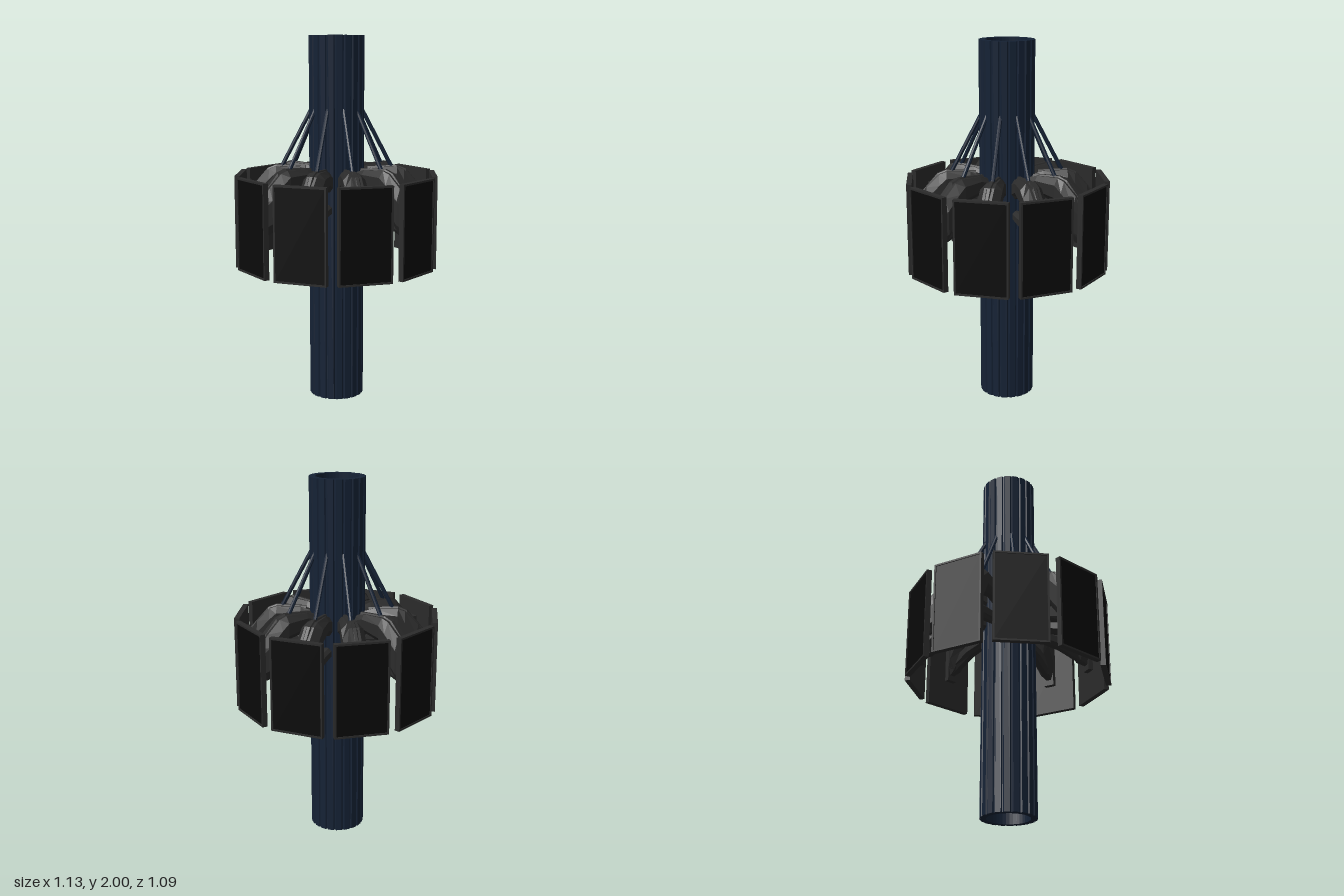
import * as THREE from 'three';

const COUNT = 10;
const blue = new THREE.MeshStandardMaterial({ color: 0x152235, flatShading: true });
const grey = new THREE.MeshStandardMaterial({ color: 0x2b2b2b, flatShading: true });
const black = new THREE.MeshStandardMaterial({ color: 0x0a0a0a, flatShading: true });

function mesh(name, geometry, material) {
  const m = new THREE.Mesh(geometry, material);
  m.name = name;
  return m;
}

function box(name, w, h, d, x, y, z, material) {
  const m = mesh(name, new THREE.BoxGeometry(w, h, d), material);
  m.position.set(x, y, z);
  return m;
}

// Chamfered beam along +z; each station is [z, top, bottom, halfWidth]
function beam(stations) {
  const pos = [], index = [], n = 8;
  for (const [z, top, bottom, w] of stations) {
    const c = (top - bottom) * 0.25, k = w * 0.45;
    const ring = [[k, top], [-k, top], [-w, top - c], [-w, bottom + c],
      [-k, bottom], [k, bottom], [w, bottom + c], [w, top - c]];
    for (const [x, y] of ring) pos.push(x, y, z);
  }
  for (let s = 0; s < stations.length - 1; s++) {
    for (let i = 0; i < n; i++) {
      const a = s * n + i, b = s * n + (i + 1) % n;
      index.push(a, b, b + n, a, b + n, a + n);
    }
  }
  const last = (stations.length - 1) * n;
  for (let i = 1; i < n - 1; i++) {
    index.push(0, i + 1, i, last, last + i, last + i + 1);
  }
  const g = new THREE.BufferGeometry();
  g.setAttribute('position', new THREE.Float32BufferAttribute(pos, 3));
  g.setIndex(index);
  const flat = g.toNonIndexed();
  flat.computeVertexNormals();
  return flat;
}

function rod(name, from, to, radius) {
  const a = new THREE.Vector3(...from), b = new THREE.Vector3(...to);
  const m = mesh(name, new THREE.CylinderGeometry(radius, radius, a.distanceTo(b), 8), blue);
  m.position.copy(a).lerp(b, 0.5);
  m.quaternion.setFromUnitVectors(new THREE.Vector3(0, 1, 0), b.sub(a).normalize());
  return m;
}

// Hollow ribbed column
function makeColumn() {
  const ribs = 20, pts = [];
  for (let i = 0; i < ribs; i++) {
    for (const [r, t] of [[0.143, 0], [0.15, 0.12], [0.15, 0.78], [0.143, 0.9]]) {
      const a = (i + t) / ribs * Math.PI * 2;
      pts.push(new THREE.Vector2(Math.cos(a) * r, Math.sin(a) * r));
    }
  }
  const shape = new THREE.Shape(pts);
  const hole = new THREE.Path();
  hole.absarc(0, 0, 0.115, 0, Math.PI * 2, true);
  shape.holes.push(hole);
  const g = new THREE.ExtrudeGeometry(shape, { depth: 2, bevelEnabled: false, curveSegments: 20 });
  g.rotateX(-Math.PI / 2);
  return mesh('column', g, blue);
}

// Framed screen facing +z
function makePanel() {
  const g = new THREE.Group();
  g.name = 'panel';
  const w = 0.288, h = 0.505, y = 1.0025, t = 0.01;
  g.add(box('panelBack', w, h, 0.02, 0, y, 0.526, grey));
  g.add(box('screen', w - 2 * t, h - 2 * t, 0.004, 0, y, 0.538, black));
  for (const s of [-1, 1]) {
    g.add(box('sideBezel', t, h, 0.01, s * (w - t) / 2, y, 0.54, grey));
    g.add(box('endBezel', w - 2 * t, t, 0.01, 0, y + s * (h - t) / 2, 0.54, grey));
  }
  return g;
}

// Bent arm, lower brace, mount and stay rod for one panel
function makeArm() {
  const g = new THREE.Group();
  g.name = 'arm';
  g.add(mesh('upperArm', beam([
    [0.06, 1.27, 1.16, 0.019], [0.13, 1.27, 1.16, 0.032], [0.2, 1.29, 1.19, 0.036],
    [0.33, 1.295, 1.16, 0.06], [0.37, 1.28, 1.06, 0.06], [0.44, 1.21, 0.96, 0.058],
    [0.495, 1.13, 0.94, 0.026]]), grey));
  g.add(mesh('armRidge', beam([
    [0.17, 1.295, 1.24, 0.014], [0.33, 1.303, 1.24, 0.018],
    [0.38, 1.283, 1.2, 0.018], [0.49, 1.155, 1.1, 0.016]]), grey));
  g.add(mesh('lowerBrace', beam([
    [0.06, 1.1, 1.04, 0.018], [0.17, 1.1, 1.04, 0.03],
    [0.32, 1.09, 1.01, 0.034], [0.46, 1.05, 0.95, 0.03]]), grey));
  g.add(box('panelMount', 0.06, 0.26, 0.03, 0, 1.04, 0.503, grey));
  g.add(rod('stayRod', [0, 1.61, 0.135], [0, 1.28, 0.308], 0.011));
  return g;
}

export function createModel() {
  const model = new THREE.Group();
  model.name = 'displayColumn';
  model.add(makeColumn());
  for (let i = 0; i < COUNT; i++) {
    const station = new THREE.Group();
    station.name = 'displayStation';
    station.add(makePanel(), makeArm());
    station.rotation.y = i / COUNT * Math.PI * 2;
    model.add(station);
  }
  return model;
}
